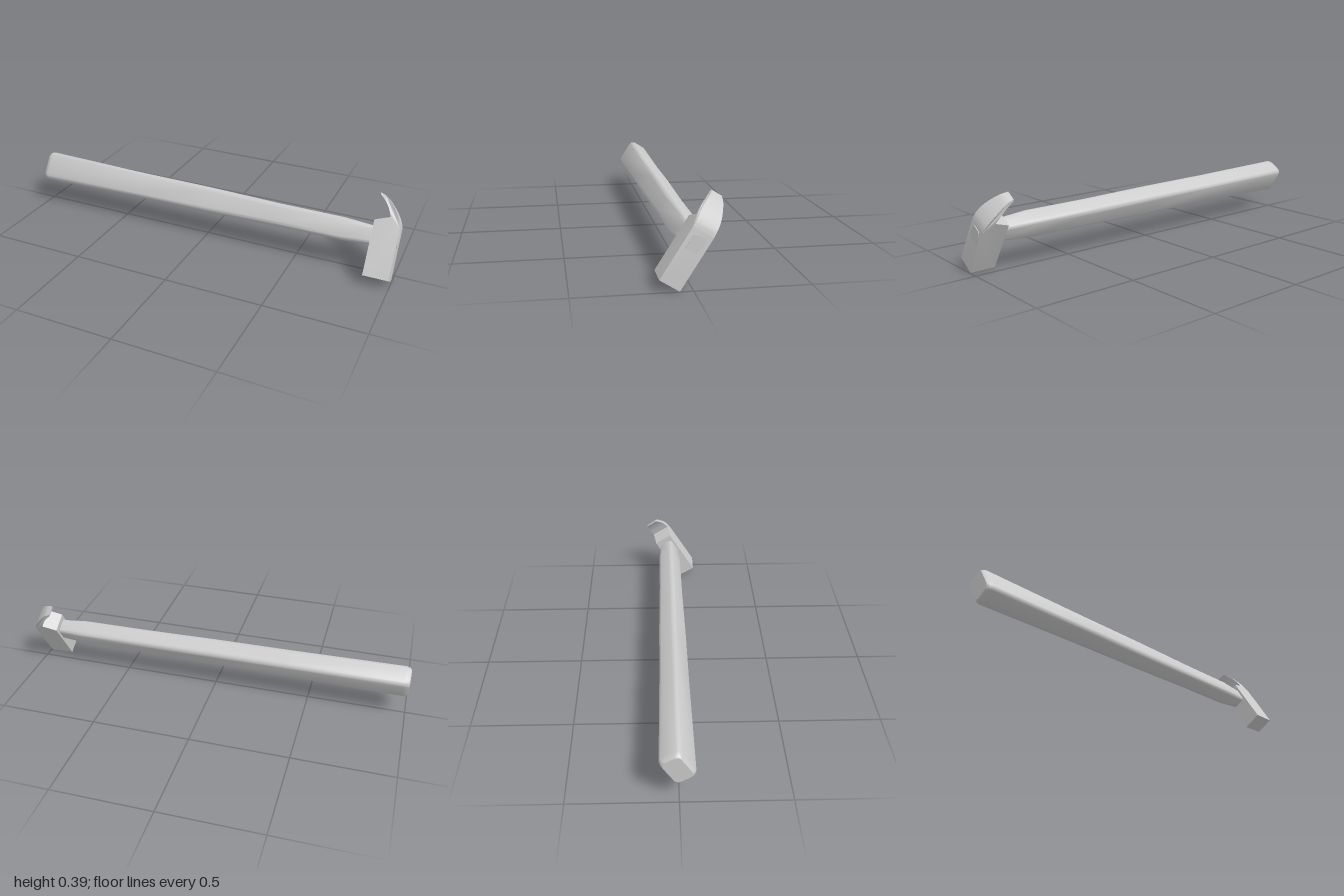
import * as THREE from 'three';
import { toCreasedNormals } from 'three/addons/utils/BufferGeometryUtils.js';

const material = new THREE.MeshStandardMaterial({ color: 0xcccccc });

// Rounded rectangle outline in (y, z), half sizes a and b
function roundedSection(a, b) {
  const r = 0.48 * b, points = [], steps = 5;
  const signs = [[1, 1], [-1, 1], [-1, -1], [1, -1]];
  signs.forEach(([sy, sz], corner) => {
    for (let k = 0; k <= steps; k++) {
      const t = (corner + k / steps) * Math.PI / 2;
      points.push([sy * (a - r) + r * Math.cos(t), sz * (b - r) + r * Math.sin(t)]);
    }
  });
  return points;
}

// Loft through stations [x, half height, half width]; zero sized stations close the ends
function loft(stations) {
  const positions = [], index = [];
  const rings = stations.map(([, a, b]) => roundedSection(a, b));
  const n = rings[0].length;
  rings.forEach((ring, i) => ring.forEach(([y, z]) => positions.push(stations[i][0], y, z)));
  for (let i = 0; i < rings.length - 1; i++) {
    for (let j = 0; j < n; j++) {
      const a = i * n + j, b = i * n + (j + 1) % n, c = a + n, d = b + n;
      if (i > 0) index.push(a, b, c);
      if (i < rings.length - 2 || i === 0) index.push(b, d, c);
    }
  }
  const geometry = new THREE.BufferGeometry();
  geometry.setAttribute('position', new THREE.Float32BufferAttribute(positions, 3));
  geometry.setIndex(index);
  return toCreasedNormals(geometry, 0.5);
}

function makeHandle() {
  const geometry = loft([
    [-1, 0, 0],
    [-1, 0.066, 0.046],
    [-0.992, 0.073, 0.053],
    [-0.975, 0.078, 0.058],
    [-0.4, 0.067, 0.055],
    [0, 0.065, 0.053],
    [0.4, 0.057, 0.05],
    [0.73, 0.056, 0.049],
    [0.87, 0.046, 0.039],
    [0.88, 0.038, 0.03],
    [1, 0.038, 0.03],
    [1, 0, 0],
  ]);
  const mesh = new THREE.Mesh(geometry, material);
  mesh.name = 'handle';
  return mesh;
}

// Head: striking block and curved claw in one side profile, narrowed toward the claw tip
function makeHead() {
  const profile = new THREE.Shape();
  profile.moveTo(0.872, -0.2);
  profile.lineTo(0.997, -0.2);
  profile.lineTo(0.997, 0.055);
  profile.splineThru([[0.99, 0.085], [0.968, 0.125], [0.94, 0.16], [0.905, 0.194], [0.872, 0.209]]
    .map(([x, y]) => new THREE.Vector2(x, y)));
  profile.lineTo(0.872, 0.2);
  profile.splineThru([[0.9, 0.175], [0.925, 0.142], [0.945, 0.1]]
    .map(([x, y]) => new THREE.Vector2(x, y)));
  profile.lineTo(0.872, 0.073);

  const geometry = new THREE.ExtrudeGeometry(profile, { depth: 2, bevelEnabled: false, curveSegments: 3 });
  geometry.translate(0, 0, -1);
  const p = geometry.attributes.position;
  for (let i = 0; i < p.count; i++) {
    const t = Math.max(0, (p.getY(i) - 0.1) / 0.109);
    p.setZ(i, p.getZ(i) * (0.05 - 0.024 * t * t));
  }
  const mesh = new THREE.Mesh(toCreasedNormals(geometry, 0.5), material);
  mesh.name = 'clawHead';
  return mesh;
}

export function createModel() {
  const group = new THREE.Group();
  group.name = 'hammer';
  // The tool lies tilted about its handle axis
  const tool = new THREE.Group();
  tool.name = 'tiltedTool';
  tool.add(makeHandle(), makeHead());
  tool.rotation.x = -0.56;
  tool.position.set(0, 0.196, -0.008);
  group.add(tool);
  return group;
}
